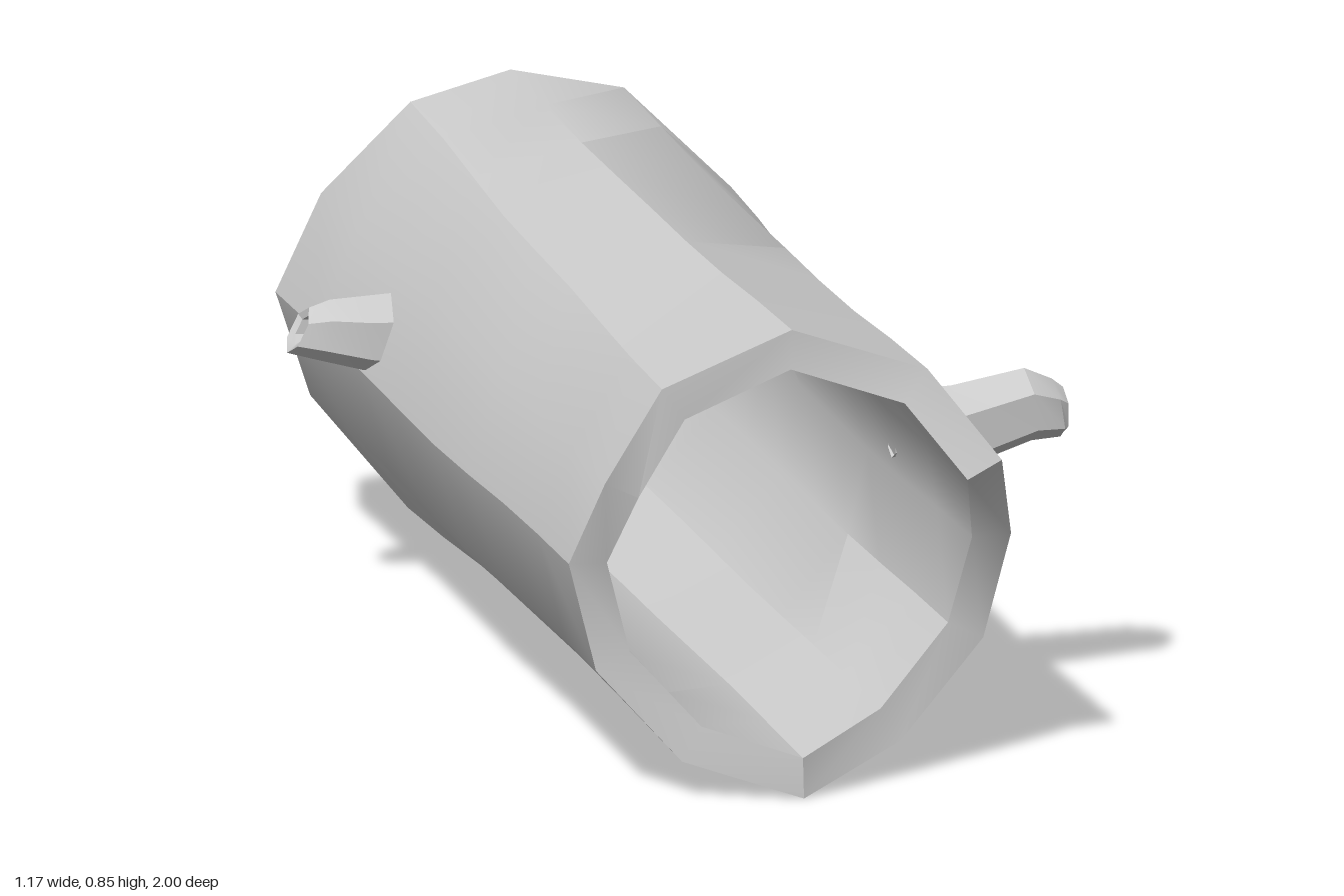
import * as THREE from 'three';
import { toCreasedNormals } from 'three/addons/utils/BufferGeometryUtils.js';

const material = new THREE.MeshStandardMaterial({ color: 0xcccccc, side: THREE.DoubleSide });

// Skin a list of equal-length closed rings of [x, y, z]
function loft(name, rings, closed, crease) {
  const n = rings[0].length, index = [];
  const last = closed ? rings.length : rings.length - 1;
  for (let i = 0; i < last; i++) {
    const k = (i + 1) % rings.length;
    for (let j = 0; j < n; j++) {
      const m = (j + 1) % n;
      const a = i * n + j, b = i * n + m, c = k * n + j, d = k * n + m;
      index.push(a, c, b, b, c, d);
    }
  }
  const geometry = new THREE.BufferGeometry();
  geometry.setAttribute('position', new THREE.Float32BufferAttribute(rings.flat(2), 3));
  geometry.setIndex(index);
  const mesh = new THREE.Mesh(toCreasedNormals(geometry, crease), material);
  mesh.name = name;
  return mesh;
}

// Twelve-sided outlines, counter-clockwise from the log's left side
const front = [[0.37, 0.44], [0.32, 0.61], [0.2, 0.77], [-0.03, 0.84], [-0.28, 0.76], [-0.39, 0.6],
  [-0.44, 0.44], [-0.39, 0.24], [-0.24, 0.07], [-0.03, 0], [0.17, 0.07], [0.33, 0.24]];
const middle = [[0.36, 0.42], [0.3, 0.62], [0.2, 0.74], [-0.045, 0.83], [-0.26, 0.77], [-0.39, 0.62],
  [-0.45, 0.43], [-0.39, 0.23], [-0.23, 0.07], [-0.04, 0.01], [0.17, 0.06], [0.32, 0.23]];
const back = [[0.35, 0.44], [0.33, 0.62], [0.15, 0.8], [-0.06, 0.85], [-0.24, 0.8], [-0.39, 0.63],
  [-0.46, 0.44], [-0.41, 0.26], [-0.25, 0.06], [-0.05, 0], [0.16, 0.07], [0.31, 0.24]];

// Ragged ends: z of each corner
const frontZ = [0.88, 1, 0.94, 0.87, 0.91, 0.93, 0.87, 0.87, 0.9, 0.95, 0.87, 0.84];
const backZ = [-0.82, -0.83, -0.89, -0.885, -0.9, -0.95, -1, -0.95, -0.88, -0.83, -0.88, -0.85];

// Ring at t (0 front, 0.5 middle, 1 back), scaled about the axis
function trunkRing(t, scale) {
  const ahead = t < 0.5;
  const end = ahead ? front : back, endZ = ahead ? frontZ : backZ;
  const away = Math.abs(t - 0.5) * 2;
  const ease = away * away * (3 - 2 * away);
  const swell = 1 - 0.015 * Math.sin(Math.PI * away) ** 2;
  return middle.map(([mx, my], j) => {
    const x = THREE.MathUtils.lerp(mx, end[j][0], ease);
    const y = THREE.MathUtils.lerp(my, end[j][1], ease);
    const s = scale * swell;
    return [-0.04 + (x + 0.04) * s, 0.425 + (y - 0.425) * s, endZ[j] * away];
  });
}

// Hexagonal branch stub; each station is [x, y, radius, lean]
function branch(name, side, z, stations) {
  const rings = stations.map(([x, y, r, lean]) =>
    Array.from({ length: 6 }, (_, j) => {
      const a = j * Math.PI / 3;
      const up = Math.cos(a) * r;
      return [side * (x - lean * up), y + up, z - side * Math.sin(a) * r];
    }));
  return loft(name, rings, false, 0.5);
}

export function createModel() {
  const group = new THREE.Group();
  group.name = 'hollowLog';

  // Trunk: outside to the back, inside returning to the front
  const steps = 8, rings = [];
  for (let i = 0; i <= steps; i++) rings.push(trunkRing(i / steps, 1));
  for (let i = steps; i >= 0; i--) rings.push(trunkRing(i / steps, 0.825));
  group.add(loft('trunk', rings, true, 0.53));

  // Stubs: outer bark to the tip, then a narrow bore back through the wall
  group.add(branch('leftBranch', 1, 0.45, [
    [0.31, 0.505, 0.088, 0], [0.38, 0.515, 0.08, 0], [0.52, 0.55, 0.067, 0.1], [0.572, 0.54, 0.054, 0.15],
    [0.585, 0.535, 0.042, 0], [0.58, 0.535, 0.028, 0], [0.52, 0.54, 0.026, 0], [0.27, 0.5, 0.03, 0],
  ]));
  group.add(branch('rightBranch', -1, -0.455, [
    [0.39, 0.505, 0.075, 0], [0.45, 0.51, 0.068, 0], [0.525, 0.522, 0.054, 0.25],
    [0.57, 0.524, 0.04, 0.5], [0.562, 0.524, 0.026, 0.5], [0.52, 0.52, 0.024, 0.2], [0.36, 0.505, 0.028, 0],
  ]));
  return group;
}
